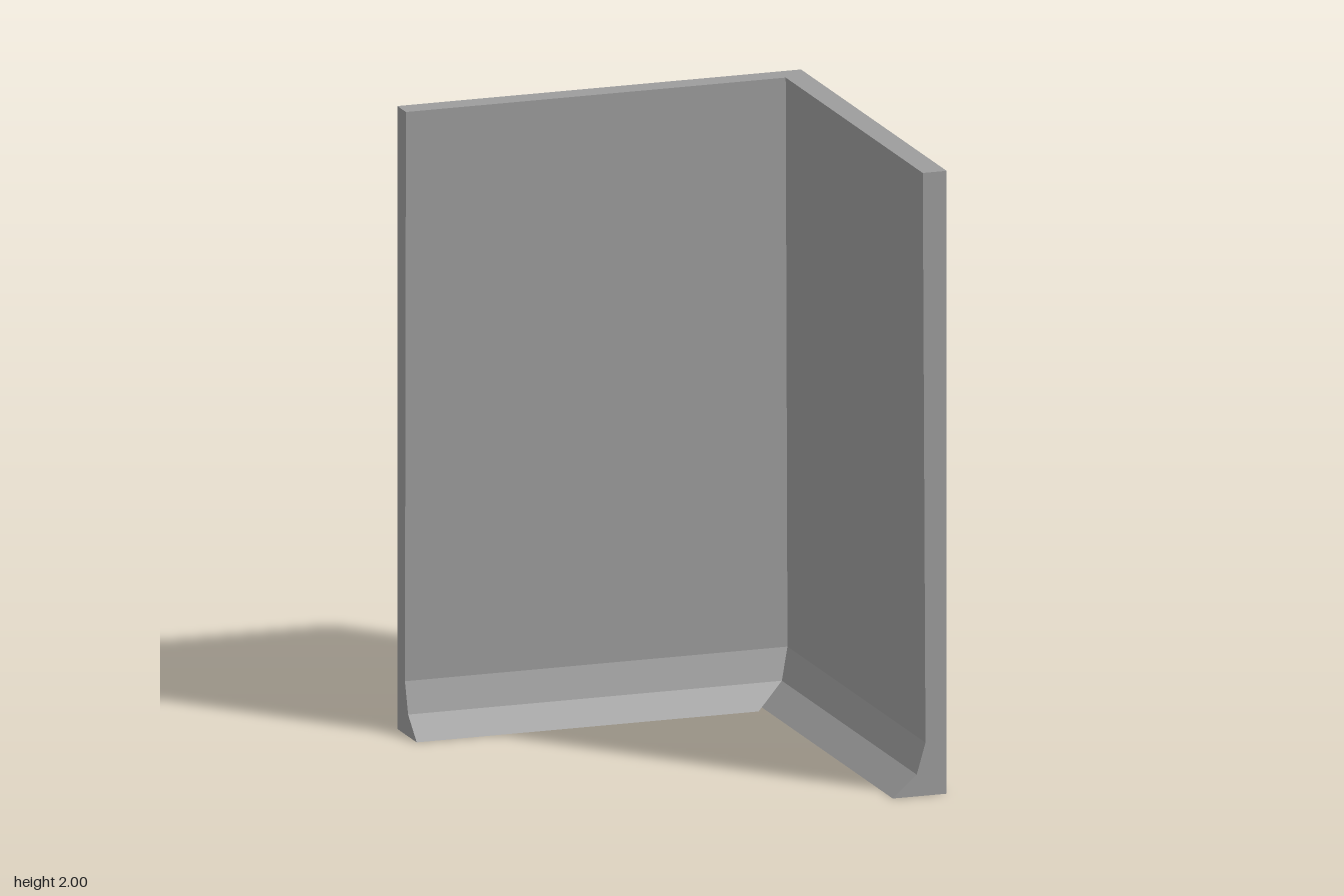
import * as THREE from 'three';

const HALF = 0.667;
// Wall cross-section: [distance from centre, height], outer foot round to skirting toe
const PROFILE = [[0.667, 0], [0.667, 2], [0.588, 2], [0.597, 0.17], [0.568, 0.07], [0.489, 0]];

// Thin panel set between two matching cross-sections, open underneath
function wallMesh(name, from, to, capFrom, capTo) {
  const pos = [];
  const tri = (...pts) => pts.forEach(p => pos.push(...p));
  for (let i = 0; i < from.length - 1; i++) {
    tri(from[i], from[i + 1], to[i + 1]);
    tri(from[i], to[i + 1], to[i]);
  }
  for (let i = 1; i < from.length - 1; i++) {
    if (capFrom) tri(from[0], from[i + 1], from[i]);
    if (capTo) tri(to[0], to[i], to[i + 1]);
  }
  const geometry = new THREE.BufferGeometry();
  geometry.setAttribute('position', new THREE.Float32BufferAttribute(pos, 3));
  geometry.computeVertexNormals();
  const mesh = new THREE.Mesh(geometry, new THREE.MeshStandardMaterial({
    color: 0x9c9c9c, flatShading: true, side: THREE.DoubleSide,
  }));
  mesh.name = name;
  return mesh;
}

export function createModel() {
  const group = new THREE.Group();
  group.name = 'cornerWall';

  // Mitred corner; the two skirting toes end at different points
  const corner = PROFILE.map(([d, y]) => [d, y, -d]);
  const backCorner = [...corner.slice(0, 5), [0.463, 0, -0.489]];
  const sideCorner = [...corner.slice(0, 5), [0.489, 0, -0.62]];

  // Free ends of the two walls
  const backEnd = PROFILE.map(([d, y]) => [-HALF, y, -d]);
  const sideEnd = PROFILE.map(([d, y]) => [d, y, HALF]);

  group.add(wallMesh('backWall', backEnd, backCorner, true, false));
  group.add(wallMesh('sideWall', sideCorner, sideEnd, false, true));
  return group;
}
